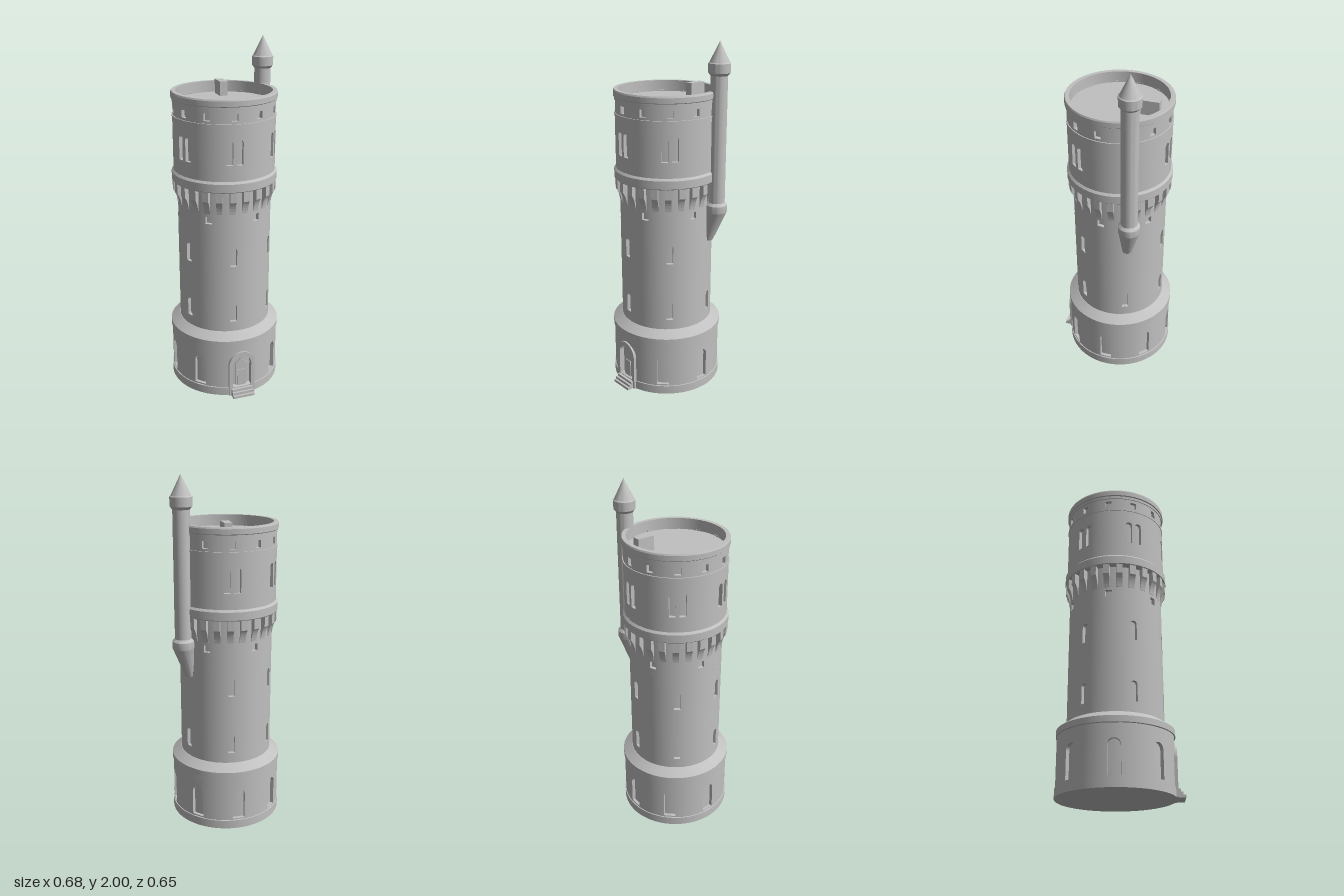
import * as THREE from 'three';
import { mergeGeometries, toCreasedNormals } from 'three/addons/utils/BufferGeometryUtils.js';

const CX = -0.022, CZ = -0.006, DEPTH = 0.02;
const rad = THREE.MathUtils.degToRad;
const stone = new THREE.MeshStandardMaterial({ color: 0xc0c0c0 });
stone.name = 'stone';

function add(parent, name, geo) {
  const m = new THREE.Mesh(geo, stone);
  m.name = name;
  parent.add(m);
  return m;
}

// Surface of revolution with crisp edges
function turned(points, segments) {
  const g = new THREE.LatheGeometry(points.map(p => new THREE.Vector2(...p)), segments);
  return toCreasedNormals(g, 0.4);
}

// Window outline: square or round headed
function opening(Type, w, y0, y1, arched) {
  const s = new Type();
  s.moveTo(-w / 2, y0);
  s.lineTo(w / 2, y0);
  if (arched) {
    s.lineTo(w / 2, y1 - w / 2);
    s.absarc(0, y1 - w / 2, w / 2, 0, Math.PI, false);
  } else {
    s.lineTo(w / 2, y1);
    s.lineTo(-w / 2, y1);
  }
  s.closePath();
  return s;
}

// Wrap a flat geometry round the tower axis
function bend(geo, R, angle) {
  const p = geo.attributes.position, n = geo.attributes.normal;
  for (let i = 0; i < p.count; i++) {
    const a = angle + p.getX(i) / R, r = R + p.getZ(i);
    const s = Math.sin(a), c = Math.cos(a), nx = n.getX(i), nz = n.getZ(i);
    p.setXYZ(i, r * s, p.getY(i), r * c);
    n.setXYZ(i, nx * c + nz * s, n.getY(i), -nx * s + nz * c);
  }
  return geo;
}

// Round wall band with recessed openings; windows are { a (degrees), w, y0, y1, arched }
function wall(R, y0, y1, windows) {
  const parts = [], h = y1 - y0;
  const list = windows.map(v => ({ ...v, a: (v.a + 360) % 360 })).sort((p, q) => p.a - q.a);
  list.forEach((v, i) => {
    const tile = v.w + 0.008;
    const shape = opening(THREE.Shape, tile, y0, y1, false);
    shape.holes.push(opening(THREE.Path, v.w, v.y0, v.y1, v.arched));
    const g = new THREE.ExtrudeGeometry(shape, { depth: DEPTH, bevelEnabled: false, curveSegments: 8 });
    parts.push(bend(g.translate(0, 0, -DEPTH), R, rad(v.a)));
    // plain stretch to the next window
    const next = list[(i + 1) % list.length];
    const start = rad(v.a) + tile / 2 / R;
    const end = rad(next.a + (i === list.length - 1 ? 360 : 0)) - (next.w + 0.008) / 2 / R;
    const plane = new THREE.PlaneGeometry((end - start) * R, h, Math.ceil((end - start) / 0.07), 1);
    plane.translate(0, (y0 + y1) / 2, 0);
    parts.push(bend(plane.toNonIndexed(), R, (start + end) / 2));
  });
  return mergeGeometries(parts);
}

const ring = (count, first, spec) =>
  Array.from({ length: count }, (_, i) => ({ a: first + i * 360 / count, ...spec }));

export function createModel() {
  const model = new THREE.Group();
  model.name = 'tower';
  const tower = new THREE.Group();
  tower.name = 'mainTower';
  tower.position.set(CX, 0, CZ);
  model.add(tower);

  // Solid core with plinth, bands and sunken roof; walls sit in its grooves
  add(tower, 'core', turned([
    [0, 0], [0.32, 0], [0.32, 0.05], [0.295, 0.055], [0.295, 0.32], [0.32, 0.325], [0.32, 0.358],
    [0.267, 0.395], [0.245, 0.396], [0.245, 1.12], [0.265, 1.12], [0.265, 1.235], [0.29, 1.24],
    [0.295, 1.245], [0.295, 1.29], [0.284, 1.302], [0.264, 1.303], [0.264, 1.598],
    [0.287, 1.6], [0.287, 1.61], [0.262, 1.612], [0.262, 1.68], [0.286, 1.682], [0.286, 1.698],
    [0.291, 1.702], [0.291, 1.73], [0.287, 1.738], [0.264, 1.738], [0.264, 1.675], [0, 1.675],
  ], 96));

  // Base wall with eight bays, one of them the doorway
  const bays = ring(8, 9, { w: 0.07, y0: 0.06, y1: 0.245, arched: true });
  bays[7] = { a: 324, w: 0.12, y0: 0.051, y1: 0.255, arched: true };
  add(tower, 'baseWall', wall(0.315, 0.05, 0.322, bays));

  // Shaft walls
  const slit = { w: 0.037, arched: true };
  add(tower, 'lowerShaft', wall(0.265, 0.393, 0.68, ring(6, 17, { ...slit, y0: 0.455, y1: 0.567 })));
  const upperSlits = ring(6, 17, { ...slit, y0: 0.8, y1: 0.912 }).filter(v => v.a !== 77);
  add(tower, 'middleShaft', wall(0.265, 0.68, 1.0, upperSlits));
  add(tower, 'upperShaft', wall(0.265, 1.0, 1.121, ring(6, -13, { w: 0.038, y0: 1.052, y1: 1.092 })));

  // Upper drum with paired windows, and the frieze of small square openings
  const pairs = ring(6, 17, { w: 0.036, y0: 1.39, y1: 1.525, arched: true })
    .filter(v => v.a !== 77)
    .flatMap(v => [{ ...v, a: v.a - 5.7 }, { ...v, a: v.a + 5.7 }]);
  add(tower, 'drumWall', wall(0.284, 1.3, 1.6, pairs));
  add(tower, 'frieze', wall(0.282, 1.61, 1.682, ring(12, -13, { w: 0.035, y0: 1.624, y1: 1.664 })));

  // Corbels under the drum
  const profile = new THREE.Shape();
  profile.moveTo(0.255, 1.245);
  profile.lineTo(0.255, 1.11);
  profile.lineTo(0.266, 1.11);
  profile.quadraticCurveTo(0.272, 1.16, 0.291, 1.185);
  profile.lineTo(0.291, 1.245);
  profile.closePath();
  const corbel = new THREE.ExtrudeGeometry(profile, { depth: 0.034, bevelEnabled: false, curveSegments: 5 });
  corbel.translate(0, 0, -0.017);
  const corbels = new THREE.Group();
  corbels.name = 'corbels';
  tower.add(corbels);
  for (let i = 0; i < 24; i++) add(corbels, 'corbel', corbel).rotation.y = i * Math.PI / 12;

  // Doorway: arched surround, pointed door leaf and steps
  const doorway = new THREE.Group();
  doorway.name = 'doorway';
  doorway.rotation.y = rad(-36);
  tower.add(doorway);
  const surround = opening(THREE.Shape, 0.155, 0, 0.28, true);
  surround.holes.push(opening(THREE.Path, 0.112, 0.01, 0.255, true));
  add(doorway, 'doorSurround', new THREE.ExtrudeGeometry(surround,
    { depth: 0.032, bevelEnabled: false, curveSegments: 16 })).position.z = 0.29;
  const leaf = new THREE.Shape([[-0.034, 0.045], [0.034, 0.045], [0.034, 0.195], [0, 0.232], [-0.034, 0.195]]
    .map(p => new THREE.Vector2(...p)));
  add(doorway, 'doorLeaf', new THREE.ExtrudeGeometry(leaf,
    { depth: 0.012, bevelEnabled: false })).position.z = 0.29;
  add(doorway, 'doorPanel', new THREE.BoxGeometry(0.046, 0.11, 0.006)).position.set(0, 0.1, 0.304);
  for (let i = 0; i < 3; i++) {
    const front = 0.361 - i * 0.013, h = 0.015 * (i + 1);
    add(doorway, 'step', new THREE.BoxGeometry(0.13, h, front - 0.29))
      .position.set(0, h / 2, (front + 0.29) / 2);
  }

  // Roof hatch
  const hatch = add(tower, 'roofHatch', new THREE.BoxGeometry(0.1, 0.085, 0.045));
  hatch.position.set(0.14, 1.7125, -0.119);
  hatch.rotation.y = rad(53);

  // Stair turret on the side, with a bracket leaning back into the shaft
  const turret = new THREE.Group();
  turret.name = 'stairTurret';
  turret.position.set(0.278, 0, 0.048);
  model.add(turret);
  add(turret, 'turretShaft', turned([
    [0.046, 1.1], [0.046, 1.82], [0.059, 1.835], [0.06, 1.885], [0.054, 1.89], [0, 2],
  ], 40));
  const bracket = turned([
    [0, 0.89], [0.027, 0.89], [0.058, 1.06], [0.06, 1.065], [0.06, 1.105], [0.046, 1.12],
  ], 40);
  const p = bracket.attributes.position;
  for (let i = 0; i < p.count; i++) {
    const t = Math.max(0, (1.06 - p.getY(i)) / 0.17);
    p.setX(i, p.getX(i) - 0.044 * t);
    p.setZ(i, p.getZ(i) - 0.006 * t);
  }
  add(turret, 'turretBracket', toCreasedNormals(bracket, 0.4));
  return model;
}
